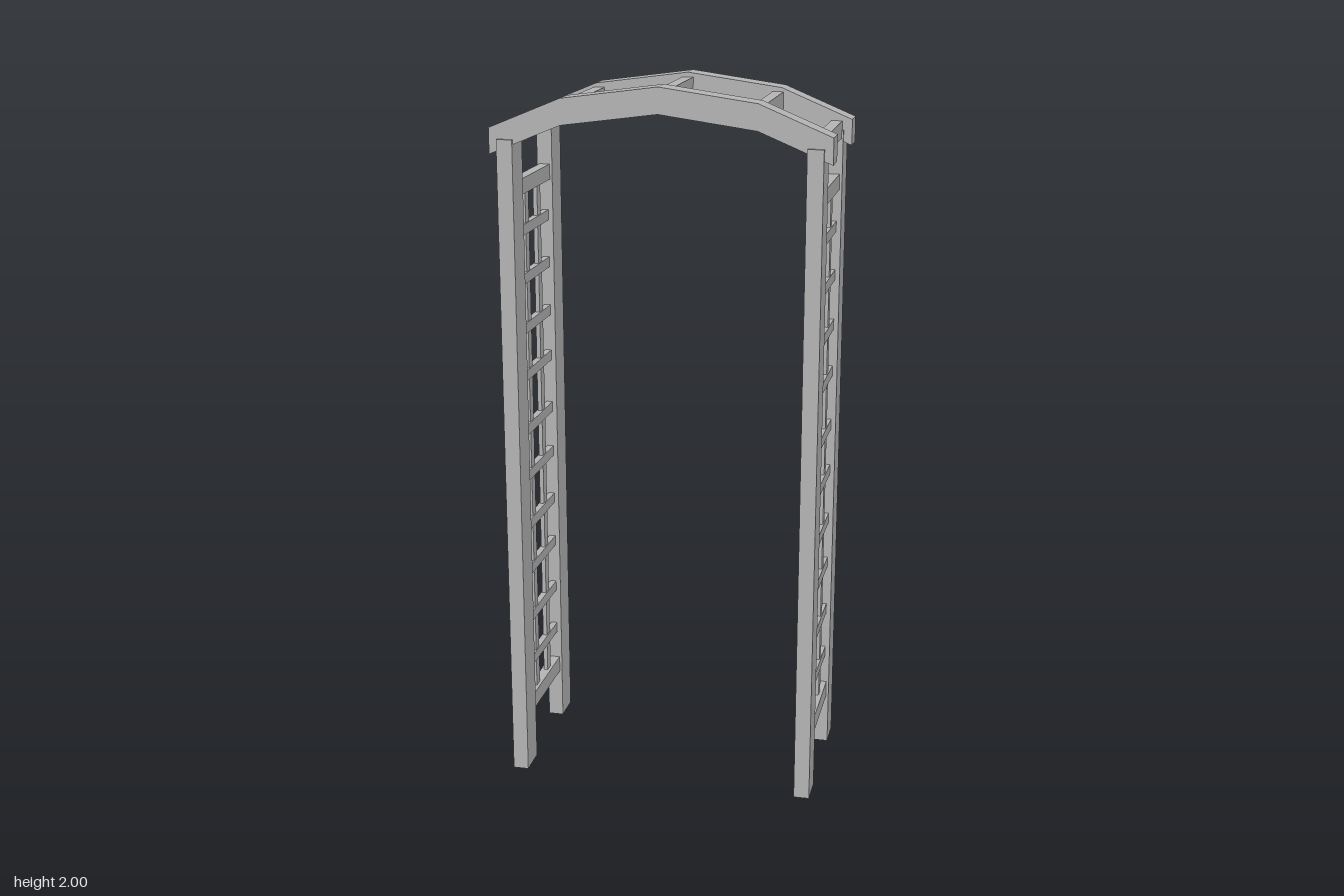
import * as THREE from 'three';

export function createModel() {
  const model = new THREE.Group();
  model.name = 'gardenArch';
  const paint = new THREE.MeshStandardMaterial({ color: 0xb4b4b4 });
  paint.name = 'grey paint';

  function box(parent, name, w, h, d, x, y, z) {
    const mesh = new THREE.Mesh(new THREE.BoxGeometry(w, h, d), paint);
    mesh.name = name;
    mesh.position.set(x, y, z);
    parent.add(mesh);
    return mesh;
  }

  // Side panels: two posts, two rails and a lattice of slats
  for (const side of [-1, 1]) {
    const panel = new THREE.Group();
    panel.name = side > 0 ? 'leftPanel' : 'rightPanel';
    panel.position.x = side * 0.418;
    model.add(panel);

    for (const end of [-1, 1]) {
      box(panel, end > 0 ? 'frontPost' : 'backPost', 0.044, 1.852, 0.09, 0, 0.926, end * 0.186);
      box(panel, 'uprightSlat', 0.012, 1.5, 0.032, 0, 0.942, end * 0.057);
    }
    box(panel, 'topRail', 0.03, 0.044, 0.286, 0, 1.71, 0);
    box(panel, 'bottomRail', 0.03, 0.048, 0.286, 0, 0.172, 0);
    for (const y of [0.296, 0.434, 0.582, 0.72, 0.87, 1.008, 1.167, 1.304, 1.447, 1.585]) {
      box(panel, 'crossSlat', 0.018, 0.03, 0.286, 0, y, 0);
    }
  }

  // Curved beams: a faceted arch profile, extruded along z
  const top = [[-0.463, 1.882], [-0.265, 1.964], [0, 2], [0.265, 1.964], [0.463, 1.882]];
  const bottom = top.map(([x, y]) => [x, y - 0.071]).reverse();
  const profile = new THREE.Shape([...top, ...bottom].map(([x, y]) => new THREE.Vector2(x, y)));
  const beamGeometry = new THREE.ExtrudeGeometry(profile, { depth: 0.072, bevelEnabled: false });
  for (const end of [-1, 1]) {
    const beam = new THREE.Mesh(beamGeometry, paint);
    beam.name = end > 0 ? 'frontBeam' : 'backBeam';
    beam.position.z = end * 0.186 - 0.036;
    model.add(beam);
  }

  // Rungs joining the two beams
  for (const [x, y] of [[-0.42, 1.854], [-0.255, 1.929], [0, 1.963], [0.255, 1.929], [0.42, 1.854]]) {
    box(model, 'rung', 0.031, 0.047, 0.31, x, y, 0);
  }
  return model;
}
